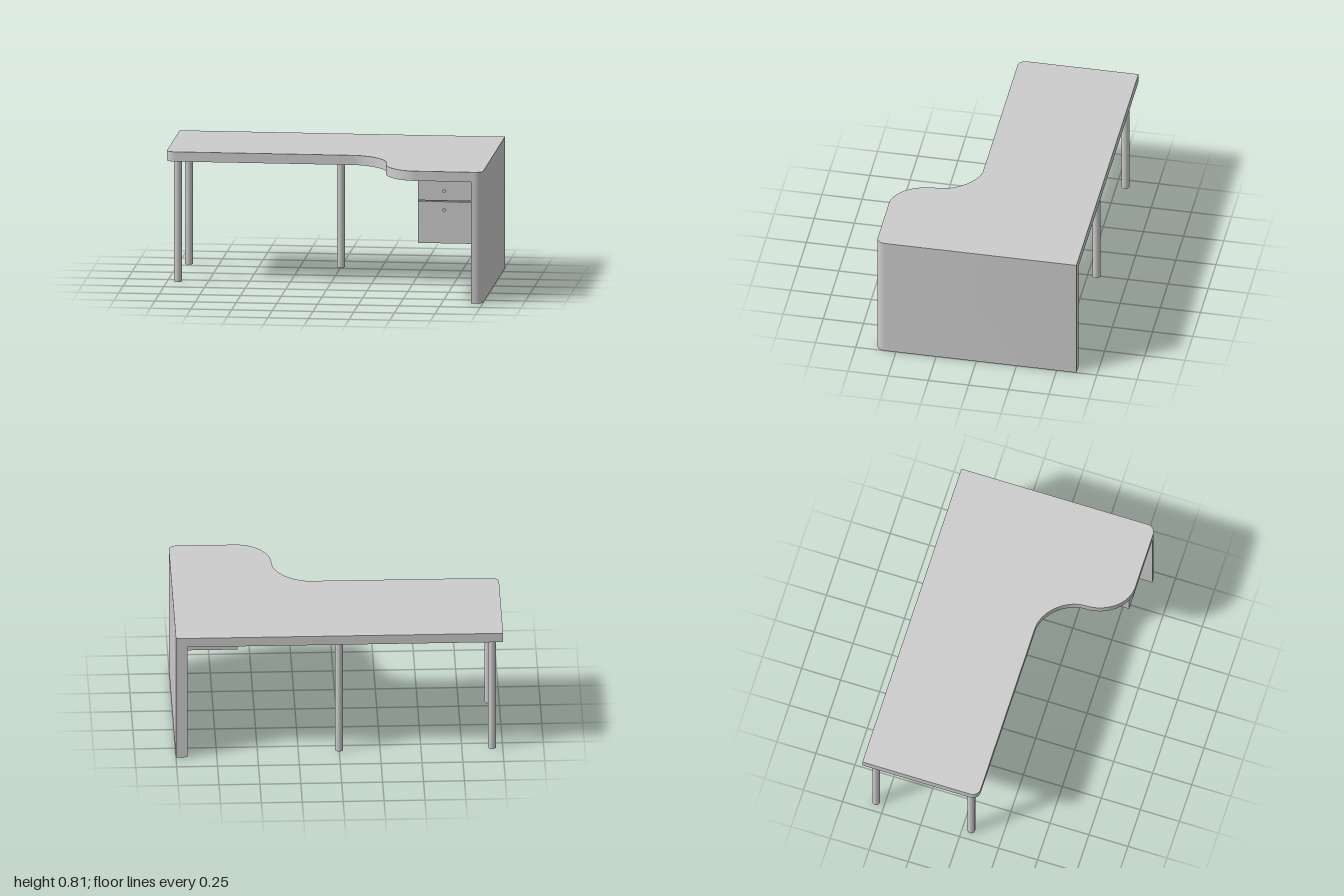
import * as THREE from 'three';
import { toCreasedNormals } from 'three/addons/utils/BufferGeometryUtils.js';

const HEIGHT = 0.815, UNDER = 0.755; // top and underside of the worktop
const BACK = -0.623, FRONT = 0.623, WING = 0.12; // depth limits
const PANEL_X = 0.93, ROUND = 0.05, K = 0.55;

const material = new THREE.MeshStandardMaterial({ color: 0xcccccc });

function add(parent, name, geometry, x = 0, y = 0, z = 0) {
  const mesh = new THREE.Mesh(geometry, material);
  mesh.name = name;
  mesh.position.set(x, y, z);
  parent.add(mesh);
  return mesh;
}

// Extrude a plan outline (drawn with y = -z) upwards
function slab(shape, height) {
  const geometry = new THREE.ExtrudeGeometry(shape, { depth: height, bevelEnabled: false, curveSegments: 16 });
  geometry.rotateX(-Math.PI / 2);
  return toCreasedNormals(geometry, 0.6);
}

// Outer front corner shared by the worktop and the side panel
function frontCorner(shape) {
  shape.lineTo(1, -FRONT + ROUND);
  shape.bezierCurveTo(1, -FRONT + ROUND * (1 - K), 1 - ROUND * (1 - K), -FRONT, 1 - ROUND, -FRONT);
}

function worktopShape() {
  const s = new THREE.Shape();
  const waistX = 0.38, waistZ = 0.37;
  s.moveTo(-1, -BACK);
  s.lineTo(1, -BACK);
  frontCorner(s);
  // S-curve from the deep end into the wing
  s.lineTo(0.59, -FRONT);
  s.bezierCurveTo(0.59 - 0.21 * K, -FRONT, waistX, -waistZ - 0.25 * K, waistX, -waistZ);
  s.bezierCurveTo(waistX, -waistZ + 0.25 * K, 0.15 + 0.23 * (1 - K), -WING, 0.15, -WING);
  s.lineTo(-1 + ROUND, -WING);
  s.bezierCurveTo(-1 + ROUND * (1 - K), -WING, -1, -WING + ROUND * (1 - K), -1, -WING + ROUND);
  s.closePath();
  return s;
}

function panelShape() {
  const s = new THREE.Shape();
  s.moveTo(PANEL_X, -BACK);
  s.lineTo(1, -BACK);
  frontCorner(s);
  s.lineTo(PANEL_X, -FRONT);
  s.closePath();
  return s;
}

function createPedestal() {
  const group = new THREE.Group();
  group.name = 'drawerPedestal';
  const x0 = 0.598, x1 = PANEL_X, z0 = 0.1, z1 = 0.58, frontDepth = 0.02;
  const width = x1 - x0, cx = (x0 + x1) / 2;
  const bottom = 0.363;
  add(group, 'drawerCabinet', new THREE.BoxGeometry(width, UNDER - bottom, z1 - z0 - frontDepth),
    cx, (UNDER + bottom) / 2, (z0 + z1 - frontDepth) / 2);
  // Each drawer: bottom edge, top edge, knob height
  const drawers = [['upper', 0.628, UNDER, 0.688], ['lower', bottom, 0.621, 0.57]];
  for (const [name, low, high, knobY] of drawers) {
    add(group, name + 'DrawerFront', new THREE.BoxGeometry(width, high - low, frontDepth),
      cx, (low + high) / 2, z1 - frontDepth / 2);
    const knob = new THREE.CylinderGeometry(0.01, 0.01, 0.01, 20).rotateX(Math.PI / 2);
    add(group, name + 'DrawerKnob', knob, 0.76, knobY, z1 + 0.004);
  }
  return group;
}

export function createModel() {
  const desk = new THREE.Group();
  desk.name = 'cornerDesk';

  add(desk, 'worktop', slab(worktopShape(), HEIGHT - UNDER), 0, UNDER, 0);
  add(desk, 'sidePanel', slab(panelShape(), UNDER));
  desk.add(createPedestal());

  // Round legs under the wing
  const leg = new THREE.CylinderGeometry(0.024, 0.024, UNDER, 32);
  for (const [name, x, z] of [['backLeg', -0.935, -0.555], ['frontLeg', -0.935, 0.055], ['middleLeg', 0, -0.555]]) {
    add(desk, name, leg, x, UNDER / 2, z);
  }
  return desk;
}
